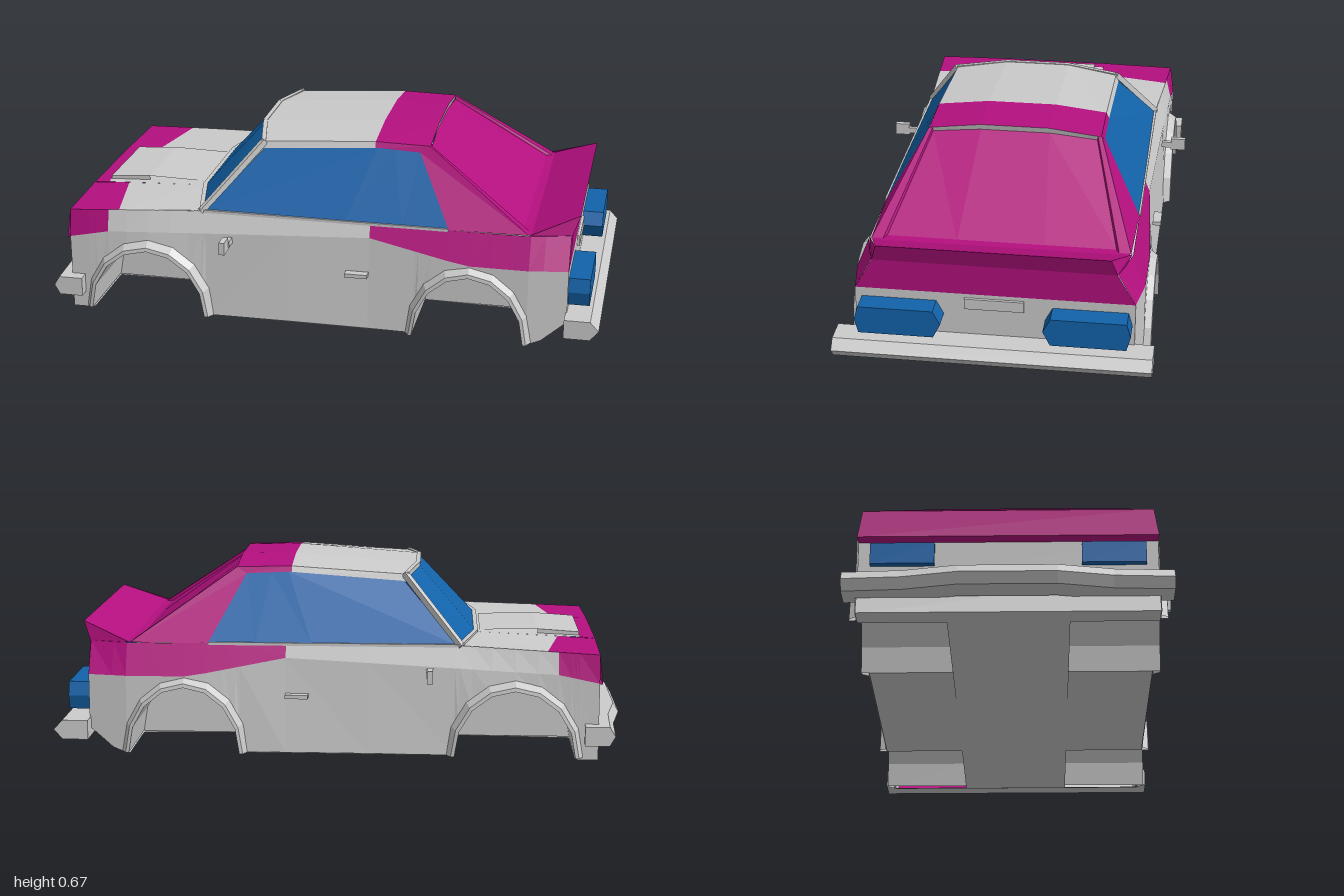
import * as THREE from 'three';

const GREY = 0xcccccc, PINK = 0xb4107f, BLUE = 0x1263aa;
const mats = {};
const mat = (c) => (mats[c] ??= new THREE.MeshStandardMaterial({ color: c, flatShading: true, side: THREE.DoubleSide }));

// Piecewise linear lookup through [x, value] points
function lerpAt(pts, x) {
  for (let i = 1; i < pts.length; i++) {
    const [a, va] = pts[i - 1], [b, vb] = pts[i];
    if (x <= b) return va + (vb - va) * Math.max(0, (x - a) / (b - a));
  }
  return pts[pts.length - 1][1];
}

const flip = (rows) => rows.map((r) => r.map(([x, y, z]) => [x, y, -z]));

export function createModel() {
  const car = new THREE.Group();
  car.name = 'car';

  const add = (name, color, geo) => {
    const m = new THREE.Mesh(geo, mat(color));
    m.name = name;
    car.add(m);
    return m;
  };
  // Surface skinned across rows of points
  const sheet = (name, color, rows) => {
    const pos = [];
    for (let i = 1; i < rows.length; i++)
      for (let j = 1; j < rows[i].length; j++) {
        const a = rows[i - 1][j - 1], b = rows[i - 1][j], c = rows[i][j], d = rows[i][j - 1];
        pos.push(...a, ...b, ...c, ...a, ...c, ...d);
      }
    const g = new THREE.BufferGeometry();
    g.setAttribute('position', new THREE.Float32BufferAttribute(pos, 3));
    g.computeVertexNormals();
    return add(name, color, g);
  };
  const pair = (name, color, rows) => {
    sheet(name + 'Left', color, rows);
    sheet(name + 'Right', color, flip(rows));
  };
  // Surface spanning both sides, from points on the left edge
  const span = (name, color, pts) => sheet(name, color, [pts, flip([pts])[0]]);
  const box = (name, color, x0, x1, y0, y1, z0, z1) =>
    add(name, color, new THREE.BoxGeometry(x1 - x0, y1 - y0, z1 - z0)
      .translate((x0 + x1) / 2, (y0 + y1) / 2, (z0 + z1) / 2));
  // Thin square trim between two points
  const bar = (name, a, b, t = 0.016) => {
    const p = new THREE.Vector3(...a), q = new THREE.Vector3(...b);
    const m = add(name, GREY, new THREE.BoxGeometry(t, t, p.distanceTo(q) + t / 2));
    m.position.copy(p).lerp(q, 0.5);
    m.lookAt(q);
  };

  // Body side outlines
  const midLine = [[-0.91, 0.28], [-0.76, 0.31], [0.19, 0.355], [0.53, 0.29], [0.9, 0.29]];
  const topLine = [[-0.91, 0.38], [-0.46, 0.4], [0.9, 0.4]];
  const sideZ = (x, y) => {
    const up = Math.max(0, y - 0.29);
    const lean = lerpAt([[-0.9, 0.15], [-0.45, 0.41], [0.9, 0.41]], x);
    return 0.492 - up * lean - Math.max(0, x - 0.75) * (0.17 + up);
  };
  const arch = (cx, rx, s = 1, n = 8) => Array.from({ length: n + 1 }, (_, i) => {
    const t = Math.PI * (1 - i / n);
    return [cx + rx * s * Math.cos(t), 0.02 + 0.235 * s * Math.sin(t)];
  });
  const wheels = { front: [-0.61, 0.21], rear: [0.545, 0.195] };
  const cols = [[-0.9, 0.01], [-0.83, 0.01], ...arch(...wheels.front), [-0.1, 0.022], [0.19, 0.022],
    ...arch(...wheels.rear), [0.75, 0.012], [0.8, 0.03], [0.885, 0.1]];
  const at = (x, y) => [x, y, sideZ(x, y)];
  const mid = (x) => at(x, lerpAt(midLine, x));
  const top = (x) => at(x, lerpAt(topLine, x));
  const xs = cols.map((c) => c[0]);

  // Side panels with coloured upper front and rear quarters
  pair('lowerSide', GREY, [cols.map(([x, y]) => at(x, y)), xs.map(mid)]);
  const upper = (name, color, keep) => {
    const k = xs.filter(keep);
    pair(name, color, [k.map(mid), k.map(top)]);
  };
  upper('frontQuarter', PINK, (x) => x < -0.75);
  upper('upperDoor', GREY, (x) => x > -0.77 && x < 0.2);
  upper('rearQuarter', PINK, (x) => x > 0.18);

  // Wheel wells and arch flares
  for (const [end, [cx, rx]] of Object.entries(wheels)) {
    const ring = (s, z) => arch(cx, rx, s).map(([x, y]) => [x, y, z]);
    pair(end + 'WheelWell', GREY, [ring(1, 0.2), ring(1, 0.49)]);
    pair(end + 'WellInnerWall', GREY, [ring(1, 0.2), ring(1, 0.2).map(([x, , z]) => [x, 0.018, z])]);
    pair(end + 'ArchFlare', GREY, [ring(1, 0.488), ring(1, 0.518), ring(1.06, 0.516), ring(1.14, 0.488)]);
  }
  // Coloured strip on the right rear well
  const strip = arch(...wheels.rear, 0.99).slice(2, 4);
  sheet('wellStrip', PINK, [-0.2, -0.48].map((z) => strip.map(([x, y]) => [x, y, z])));

  // Floor
  span('floorCentre', GREY, [[-0.89, 0.012, 0.2], [-0.4, 0.018, 0.2], [0.35, 0.018, 0.2], [0.75, 0.012, 0.2]]);
  span('floorMiddle', GREY, [[-0.4, 0.02, 0.49], [0.35, 0.02, 0.49]]);
  span('floorFront', GREY, [[-0.9, 0.01, 0.49], [-0.82, 0.012, 0.49]]);
  span('floorRear', GREY, [[0.74, 0.012, 0.49], [0.8, 0.03, 0.483]]);
  sheet('tailUndersideLeft', GREY, [[[0.8, 0.03, 0.483], [0.8, 0.03, 0]], [[0.885, 0.1, 0.469], [0.885, 0.1, 0]]]);
  sheet('tailUndersideRight', PINK, [[[0.8, 0.03, -0.483], [0.8, 0.03, 0]], [[0.885, 0.1, -0.469], [0.885, 0.1, 0]]]);

  // Nose
  span('noseBand', PINK, [[-0.9, 0.38, 0.478], [-0.91, 0.28, 0.492], [-0.875, 0.275, 0.49]]);
  span('noseFace', GREY, [[-0.875, 0.275, 0.49], [-0.87, 0.14, 0.49], [-0.9, 0.01, 0.49]]);
  for (const s of [-1, 1]) {
    const side = s > 0 ? 'Left' : 'Right';
    const z = (a, b) => [Math.min(s * a, s * b), Math.max(s * a, s * b)];
    box('headlight' + side, BLUE, -0.895, -0.86, 0.19, 0.265, ...z(0.24, 0.45));
    box('doorHandle' + side, GREY, 0.11, 0.19, 0.218, 0.232, ...z(0.48, 0.51));
    box('mirrorArm' + side, GREY, -0.315, -0.3, 0.3, 0.322, ...z(0.48, 0.52));
    box('mirror' + side, GREY, -0.325, -0.305, 0.29, 0.335, ...z(0.515, 0.57));
    // Tail light with pointed ends
    const lamp = new THREE.Shape([[0.17, 0.21], [0.195, 0.258], [0.447, 0.258], [0.46, 0.21], [0.447, 0.16], [0.195, 0.16]]
      .map(([a, b]) => new THREE.Vector2(-s * a, b)));
    add('tailLight' + side, BLUE, new THREE.ExtrudeGeometry(lamp, { depth: 0.08, bevelEnabled: false })
      .rotateY(Math.PI / 2).translate(0.88, 0, 0));
  }

  // Hood
  span('hoodLip', PINK, [[-0.905, 0.383, 0.2], [-0.85, 0.388, 0.2]]);
  span('hoodCentre', GREY, [[-0.85, 0.388, 0.2], [-0.475, 0.404, 0.2]]);
  pair('hoodCorner', PINK, [[top(-0.9), [-0.905, 0.383, 0.2]], [top(-0.72), [-0.77, 0.391, 0.2]]]);
  pair('hoodSide', GREY, [[top(-0.72), [-0.77, 0.391, 0.2]], [top(-0.42), [-0.475, 0.404, 0.2]]]);
  span('hoodScoop', GREY, [[-0.85, 0.385, 0.165], [-0.85, 0.4, 0.165], [-0.7, 0.41, 0.165], [-0.49, 0.405, 0.165]]);
  pair('scoopSide', GREY, [[[-0.85, 0.385, 0.165], [-0.7, 0.39, 0.165]], [[-0.85, 0.4, 0.165], [-0.7, 0.41, 0.165]]]);

  // Windows
  const base = [[-0.42, 0.4, 0.442], [-0.475, 0.404, 0.2]];
  const head = [[-0.225, 0.625, 0.302], [-0.265, 0.638, 0.115]];
  const both = (p) => [...p, ...flip([p])[0].reverse()];
  sheet('windshield', BLUE, [both(base), both(head)]);
  pair('sideWindow', BLUE, [
    [[-0.41, 0.4, 0.443], [0.1, 0.4, 0.447], [0.3, 0.4, 0.447], [0.465, 0.4, 0.447]],
    [[-0.22, 0.605, 0.312], [0.19, 0.635, 0.312], [0.25, 0.632, 0.312], [0.34, 0.628, 0.312]],
  ]);

  // Roof, grey in front and coloured behind
  const section = (x, dx, yE, yC, yS) => both([[x, yS, 0.313], [x, yE, 0.302], [x + dx, yC, 0.12]]);
  const roofMid = section(0.18, 0, 0.654, 0.675, 0.632);
  const roofEnd = section(0.375, 0, 0.65, 0.672, 0.622);
  sheet('roofFront', GREY, [section(-0.225, -0.04, 0.628, 0.643, 0.602), roofMid]);
  sheet('roofRear', PINK, [roofMid, roofEnd]);
  const sill = both([[0.37, 0.632, 0.305], [0.37, 0.65, 0.12]]);
  sheet('roofRearLip', GREY, [roofEnd.slice(1, 5), sill]);

  // Fastback with sloping pillars and a slightly sunk rear window
  const slope = (t, z0, z1, d = 0) => [0.375 + 0.365 * t, 0.65 - 0.25 * t - d, z0 + (z1 - z0) * t];
  pair('rearPillar', PINK, [
    [[0.34, 0.628, 0.312], [0.465, 0.4, 0.447]],
    [[0.375, 0.65, 0.304], [0.74, 0.4, 0.44]],
  ]);
  pair('rearPillarEdge', PINK, [
    [slope(0, 0.304, 0.44), slope(1, 0.304, 0.44)],
    [slope(0, 0.29, 0.4), slope(1, 0.29, 0.4)],
    [slope(0, 0.288, 0.395, 0.012), slope(1, 0.288, 0.395, 0.012)],
  ]);
  sheet('rearWindow', PINK, [
    both([[0.375, 0.638, 0.288], [0.37, 0.652, 0.12]]),
    both([[0.725, 0.398, 0.395], [0.725, 0.398, 0.15]]),
  ]);

  // Tail spoiler and rear face
  span('spoilerTop', PINK, [[0.715, 0.402, 0.44], [0.75, 0.4, 0.435], [0.912, 0.466, 0.388]]);
  pair('spoilerEnd', PINK, [[[0.74, 0.4, 0.445], [0.912, 0.466, 0.388]], [[0.82, 0.4, 0.43], [0.888, 0.4, 0.408]]]);
  span('tailPanel', PINK, [[0.912, 0.466, 0.388], [0.888, 0.4, 0.408], [0.885, 0.29, 0.469]]);
  span('rearFace', GREY, [[0.885, 0.29, 0.469], [0.885, 0.1, 0.469]]);
  box('plate', GREY, 0.88, 0.895, 0.238, 0.276, -0.1, 0.1);

  // Window trim
  for (const s of [1, -1]) {
    const m = ([x, y, z]) => [x, y, s * z];
    bar('windshieldPillar', m(base[0]), m(head[0]), 0.02);
    bar('cowlTrim', m(base[0]), m(base[1]));
    bar('headerTrim', m(head[0]), m(head[1]));
    bar('beltTrim', m([-0.41, 0.4, 0.444]), m([0.46, 0.4, 0.446]), 0.01);
  }
  bar('cowlTrim', base[1], flip([base])[0][1]);
  bar('headerTrim', head[1], flip([head])[0][1]);

  // Bumpers: hexagonal bars swept across the car, the front one bowed
  const bumper = (name, stations, prof) => {
    const rows = stations.map(([z, x]) => prof.map(([dx, y]) => [x + dx, y, z]));
    const cap = (r) => r.map(() => [r[0][0], 0.105, r[0][2]]);
    sheet(name, GREY, [cap(rows[0]), ...rows, cap(rows[rows.length - 1])]);
  };
  bumper('rearBumper', [[-0.535, 0.88], [0.535, 0.88]],
    [[0, 0.07], [0, 0.138], [0.09, 0.138], [0.12, 0.105], [0.09, 0.07], [0, 0.07]]);
  bumper('frontBumper', [[-0.535, -0.85], [-0.34, -0.86], [-0.16, -0.895], [0.16, -0.895], [0.34, -0.86], [0.535, -0.85]],
    [[0, 0.07], [0, 0.138], [-0.085, 0.138], [-0.105, 0.105], [-0.085, 0.07], [0, 0.07]]);

  return car;
}
